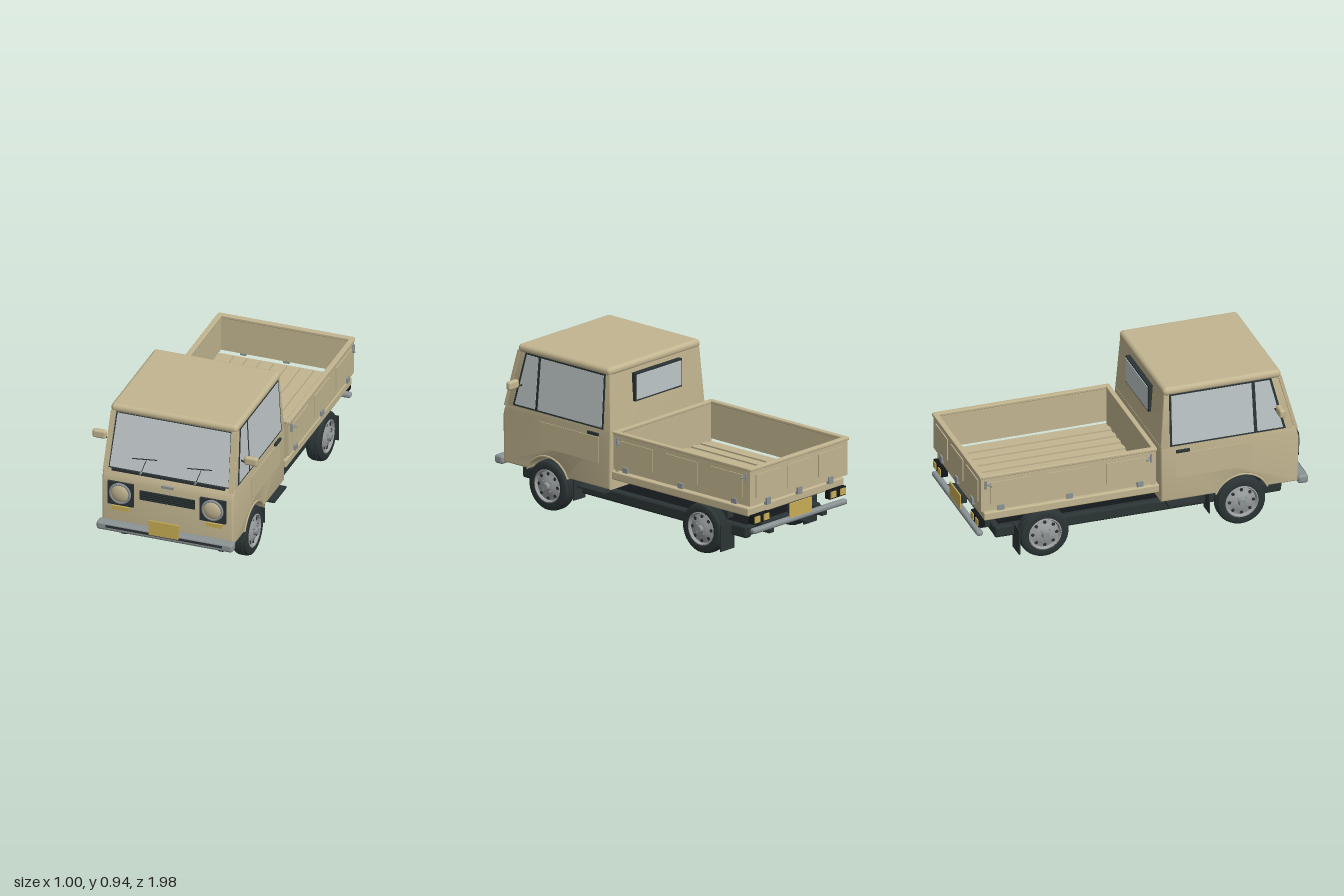
import * as THREE from 'three';
import { toCreasedNormals } from 'three/addons/utils/BufferGeometryUtils.js';
import { RoundedBoxGeometry } from 'three/addons/geometries/RoundedBoxGeometry.js';

const mat = (name, color, side = THREE.FrontSide) => {
  const m = new THREE.MeshStandardMaterial({ color, side });
  m.name = name;
  return m;
};

export function createModel() {
  const paint = mat('beigePaint', 0xc2b590), glass = mat('glass', 0xbfc7c8);
  const dark = mat('darkTrim', 0x2b3435), black = mat('blackUnderside', 0x14181a);
  const metal = mat('greyMetal', 0x8b9395), rimGrey = mat('rimGrey', 0x9c9fa0);
  const yellow = mat('amberYellow', 0xc9ae55);

  const root = new THREE.Group();
  root.name = 'pickupTruck';
  const add = (name, geo, material, parent = root) => {
    const mesh = new THREE.Mesh(geo, material);
    mesh.name = name;
    parent.add(mesh);
    return mesh;
  };
  const group = (name) => {
    const g = new THREE.Group();
    g.name = name;
    root.add(g);
    return g;
  };
  // box given by its limits on each axis, with optional rounding
  const box = (name, m, [x0, x1], [y0, y1], [z0, z1], r = 0, parent = root) => {
    const s = [x1 - x0, y1 - y0, z1 - z0];
    const mesh = add(name, r ? new RoundedBoxGeometry(...s, 3, r) : new THREE.BoxGeometry(...s), m, parent);
    mesh.position.set((x0 + x1) / 2, (y0 + y1) / 2, (z0 + z1) / 2);
    return mesh;
  };
  const mirrorBox = (name, m, [a, b], y, z, r = 0, parent = root) => {
    box(name + 'Left', m, [a, b], y, z, r, parent);
    box(name + 'Right', m, [-b, -a], y, z, r, parent);
  };
  const rod = (name, m, from, to, r, parent = root) => {
    const a = new THREE.Vector3(...from), b = new THREE.Vector3(...to), d = b.clone().sub(a);
    const mesh = add(name, new THREE.CylinderGeometry(r, r, d.length(), 10), m, parent);
    mesh.position.copy(a).lerp(b, 0.5);
    mesh.quaternion.setFromUnitVectors(new THREE.Vector3(0, 1, 0), d.normalize());
    return mesh;
  };
  const shapeOf = (pts) => new THREE.Shape(pts.map(p => new THREE.Vector2(...p)));
  const warp = (geo, rule) => {
    const p = geo.attributes.position, v = new THREE.Vector3();
    for (let i = 0; i < p.count; i++) {
      rule(v.fromBufferAttribute(p, i));
      p.setXYZ(i, v.x, v.y, v.z);
    }
    geo.computeVertexNormals();
    return geo;
  };
  // extrude a (z, y) side outline across x, centred on x = 0
  const across = (shape, width, bevel = 0) => {
    const geo = new THREE.ExtrudeGeometry(shape, {
      depth: width - 2 * bevel, curveSegments: 20, bevelEnabled: bevel > 0,
      bevelSize: bevel, bevelThickness: bevel, bevelOffset: -bevel, bevelSegments: 3 });
    geo.translate(0, 0, bevel - width / 2);
    return geo.rotateY(-Math.PI / 2);
  };
  const halfWidth = (y) => 0.395 - Math.max(0, y - 0.56) * 0.06;
  const screenZ = (y) => 0.905 - (y - 0.57) * 0.27;

  // --- cab ---
  const cab = group('cab');
  const lower = shapeOf([[0.44, 0.225], [0.115, 0.225], [0.11, 0.575], [0.905, 0.575], [0.925, 0.54], [0.935, 0.5], [0.93, 0.22], [0.745, 0.22]]);
  lower.absarc(0.593, 0.155, 0.165, 0.4, Math.PI - 0.4, false);
  add('cabLowerBody', toCreasedNormals(across(lower, 0.79, 0.012), 0.6), paint, cab);
  const upper = shapeOf([[0.11, 0.55], [0.135, 0.91], [screenZ(0.91), 0.91], [screenZ(0.55), 0.55]]);
  add('cabUpperBody', toCreasedNormals(warp(across(upper, 0.79, 0.01), v => { v.x *= halfWidth(v.y) / 0.395; }), 0.6), paint, cab);
  box('roof', paint, [-0.382, 0.382], [0.885, 0.936], [0.13, 0.835], 0.024, cab);

  // side windows, following the slope of the cab sides
  const sidePlate = (name, m, pts, t) => {
    for (const s of [1, -1]) {
      const geo = warp(across(shapeOf(pts), t), v => { v.x += s * (halfWidth(v.y) + t / 2 - 0.001); });
      add(name + (s > 0 ? 'Left' : 'Right'), geo, m, cab);
    }
  };
  sidePlate('windowSeal', dark, [[0.165, 0.572], [0.855, 0.572], [0.775, 0.895], [0.165, 0.895]], 0.004);
  sidePlate('doorGlass', glass, [[0.177, 0.582], [0.665, 0.582], [0.655, 0.885], [0.177, 0.885]], 0.006);
  sidePlate('ventGlass', glass, [[0.685, 0.582], [0.838, 0.582], [0.763, 0.885], [0.675, 0.885]], 0.006);
  sidePlate('doorPanel', paint, [[0.2, 0.37], [0.65, 0.37], [0.65, 0.52], [0.2, 0.52]], 0.005);
  mirrorBox('doorHandle', dark, [0.39, 0.408], [0.529, 0.545], [0.2, 0.28], 0, cab);
  mirrorBox('sideStep', dark, [0.34, 0.42], [0.198, 0.21], [0.15, 0.34], 0, cab);
  for (const s of [1, -1]) { // wheel arch lips
    const lip = add('archLip', new THREE.TorusGeometry(0.167, 0.006, 6, 24, Math.PI - 0.8).rotateZ(0.4).rotateY(-Math.PI / 2), paint, cab);
    lip.position.set(s * 0.394, 0.155, 0.593);
  }

  // windscreen and parts lying on its slope
  const screenPlate = (name, m, pts, t, z = 0) => add(name, warp(
    new THREE.ExtrudeGeometry(shapeOf(pts), { depth: t, bevelEnabled: false }),
    v => { v.z += screenZ(v.y) + z; }), m, cab);
  const trapezoid = (b, t, y0, y1) => [[-b, y0], [b, y0], [t, y1], [-t, y1]];
  screenPlate('windscreenSeal', dark, trapezoid(0.364, 0.348, 0.572, 0.892), 0.004);
  screenPlate('windscreen', glass, trapezoid(0.357, 0.34, 0.58, 0.884), 0.007);
  for (const s of [1, -1]) {
    const pts = [[0.364, 0.555], [0.392, 0.555], [0.377, 0.9], [0.348, 0.9]].map(([x, y]) => [s * x, y]);
    screenPlate('windscreenPillar', paint, pts, 0.02);
  }
  box('cowlStrip', dark, [-0.34, 0.34], [0.562, 0.578], [0.88, 0.922], 0, cab);
  for (const x of [-0.165, 0.165]) {
    const at = (dx, y) => [x + dx, y, screenZ(y) + 0.014];
    rod('wiperArm', dark, at(0, 0.577), at(0.025, 0.655), 0.002, cab);
    rod('wiperBlade', dark, at(-0.06, 0.649), at(0.088, 0.663), 0.003, cab);
    rod('wiperPivot', metal, [x, 0.577, 0.9], [x, 0.577, 0.93], 0.006, cab);
  }

  // rear window
  box('rearWindowSeal', dark, [-0.195, 0.195], [0.705, 0.87], [0.105, 0.14], 0, cab);
  box('rearWindow', glass, [-0.185, 0.185], [0.715, 0.86], [0.101, 0.108], 0, cab);

  // door mirrors
  mirrorBox('doorMirror', paint, [0.415, 0.498], [0.69, 0.742], [0.785, 0.82], 0.014, cab);
  for (const s of [1, -1]) rod('mirrorArm', dark, [s * 0.38, 0.705, 0.79], [s * 0.43, 0.695, 0.8], 0.005, cab);

  // --- front end ---
  const front = group('frontEnd');
  box('grille', black, [-0.165, 0.165], [0.417, 0.475], [0.92, 0.939], 0, front);
  for (let i = 0; i < 5; i++) {
    const y = 0.422 + i * 0.012;
    box('grilleSlat', dark, [-0.165, 0.165], [y, y + 0.006], [0.93, 0.944], 0, front);
  }
  box('frontTrim', metal, [-0.037, 0.037], [0.515, 0.529], [0.92, 0.939], 0, front);
  mirrorBox('headlightBezel', dark, [0.2, 0.355], [0.362, 0.506], [0.91, 0.948], 0, front);
  mirrorBox('indicator', yellow, [0.232, 0.33], [0.325, 0.35], [0.91, 0.94], 0, front);
  for (const x of [-0.278, 0.278]) {
    add('headlightRing', new THREE.TorusGeometry(0.059, 0.008, 8, 20), metal, front).position.set(x, 0.44, 0.952);
    const lens = add('headlightLens', new THREE.SphereGeometry(0.057, 24, 12), paint, front);
    lens.scale.z = 0.38;
    lens.position.set(x, 0.44, 0.947);
  }
  box('frontBumper', metal, [-0.41, 0.41], [0.205, 0.256], [0.925, 0.988], 0.016, front);
  box('bumperStrip', dark, [-0.35, 0.35], [0.229, 0.243], [0.98, 0.991], 0, front);
  box('frontPlate', yellow, [-0.09, 0.09], [0.235, 0.325], [0.987, 0.995], 0, front);

  // --- load bed ---
  const bed = group('loadBed');
  box('bedFrame', paint, [-0.4, 0.4], [0.295, 0.345], [-0.945, 0.1], 0.008, bed);
  for (let i = 0; i < 9; i++) {
    const x = (i - 4) * 0.08;
    box('floorRib', paint, [x - 0.02, x + 0.02], [0.34, 0.354], [-0.92, 0.06], 0, bed);
  }
  mirrorBox('sideBoard', paint, [0.388, 0.406], [0.362, 0.58], [-0.955, 0.078], 0, bed);
  mirrorBox('sideRail', paint, [0.383, 0.414], [0.568, 0.586], [-0.965, 0.082], 0.005, bed);
  box('headBoard', paint, [-0.39, 0.39], [0.345, 0.578], [0.06, 0.078], 0, bed);
  box('headRail', paint, [-0.405, 0.405], [0.568, 0.586], [0.055, 0.084], 0.005, bed);
  box('tailgate', paint, [-0.405, 0.405], [0.362, 0.58], [-0.965, -0.947], 0, bed);
  box('tailgateRail', paint, [-0.41, 0.41], [0.568, 0.586], [-0.975, -0.942], 0.005, bed);
  for (let i = 0; i < 3; i++) {
    const z = -0.79 + i * 0.345, x = (i - 1) * 0.26;
    mirrorBox('sidePanel', paint, [0.404, 0.411], [0.405, 0.54], [z - 0.12, z + 0.12], 0, bed);
    box('tailgatePanel', paint, [x - 0.1, x + 0.1], [0.405, 0.54], [-0.971, -0.96], 0, bed);
    const h = [-0.02, -0.44, -0.85][i];
    mirrorBox('boardHinge', metal, [0.395, 0.418], [0.36, 0.39], [h - 0.018, h + 0.018], 0, bed);
    box('tailgateHinge', metal, [x - 0.018, x + 0.018], [0.345, 0.385], [-0.975, -0.955], 0, bed);
  }
  for (const s of [1, -1]) for (const z of [0.045, -0.94]) {
    rod('cornerLatch', metal, [s * 0.412, 0.505, z], [s * 0.412, 0.555, z], 0.007, bed);
    rod('latchHandle', metal, [s * 0.405, 0.535, z], [s * 0.43, 0.525, z - 0.03 * Math.sign(z)], 0.005, bed);
  }

  // --- tail ---
  const tail = group('tail');
  mirrorBox('tailLightHousing', black, [0.25, 0.385], [0.252, 0.303], [-0.972, -0.935], 0, tail);
  mirrorBox('tailLightOuter', yellow, [0.335, 0.378], [0.259, 0.296], [-0.978, -0.97], 0, tail);
  mirrorBox('tailLightInner', yellow, [0.258, 0.3], [0.259, 0.296], [-0.978, -0.97], 0, tail);
  box('rearPlate', yellow, [-0.09, 0.09], [0.225, 0.31], [-0.982, -0.974], 0, tail);
  box('plateBracket', dark, [-0.06, 0.06], [0.24, 0.3], [-0.975, -0.93], 0, tail);
  box('rearBumper', metal, [-0.39, 0.39], [0.196, 0.228], [-0.985, -0.945], 0.014, tail);
  mirrorBox('bumperBracket', dark, [0.2, 0.24], [0.165, 0.21], [-0.96, -0.84], 0, tail);

  // --- chassis ---
  const chassis = group('chassis');
  box('floorPan', black, [-0.3, 0.3], [0.165, 0.19], [-0.85, 0.86], 0, chassis);
  mirrorBox('chassisRail', dark, [0.265, 0.315], [0.125, 0.196], [-0.85, 0.86], 0.015, chassis);
  for (const z of [0.845, -0.835]) box('crossMember', dark, [-0.3, 0.3], [0.14, 0.196], [z - 0.02, z + 0.02], 0.01, chassis);
  box('engineSump', dark, [-0.1, 0.15], [0.092, 0.17], [0.42, 0.7], 0.015, chassis);
  box('fuelTank', dark, [-0.14, 0.15], [0.095, 0.17], [-0.45, -0.18], 0.015, chassis);
  rod('driveShaft', dark, [0, 0.14, 0.42], [0, 0.14, -0.58], 0.016, chassis);
  rod('silencer', dark, [-0.15, 0.115, -0.05], [-0.15, 0.115, 0.25], 0.026, chassis);
  rod('exhaustPipe', dark, [-0.15, 0.13, -0.9], [-0.15, 0.12, -0.05], 0.011, chassis);
  for (const z of [0.593, -0.58]) {
    rod('axle', dark, [-0.34, 0.148, z], [0.34, 0.148, z], 0.022, chassis);
    mirrorBox('springMount', dark, [0.2, 0.25], [0.12, 0.298], [z - 0.07, z + 0.07], 0, chassis);
  }
  mirrorBox('rearMudFlap', dark, [0.29, 0.4], [0.045, 0.2], [-0.738, -0.73], 0, chassis);
  mirrorBox('frontMudFlap', dark, [0.29, 0.385], [0.1, 0.225], [0.4, 0.408], 0, chassis);

  // --- wheels, built with the axle along y and outside towards +y ---
  const lathe = (pts) => toCreasedNormals(new THREE.LatheGeometry(pts.map(p => new THREE.Vector2(...p)), 40), 0.7);
  const tyreGeo = lathe([[0.08, -0.045], [0.125, -0.046], [0.14, -0.038], [0.146, -0.022], [0.14, -0.018], [0.147, -0.014], [0.147, -0.003],
    [0.141, 0], [0.147, 0.003], [0.147, 0.014], [0.14, 0.018], [0.146, 0.022], [0.14, 0.038], [0.125, 0.046], [0.098, 0.042], [0.09, 0.03]]);
  const rimGeo = lathe([[0, -0.03], [0.092, -0.03], [0.098, 0.044], [0.092, 0.046], [0.084, 0.03], [0.058, 0.036], [0.042, 0.044], [0, 0.044]]);
  for (const s of [1, -1]) for (const z of [0.593, -0.58]) {
    const wheel = group('wheel');
    wheel.position.set(s * 0.354, 0.148, z);
    wheel.rotation.z = -s * Math.PI / 2;
    add('tyre', tyreGeo, dark, wheel);
    add('rim', rimGeo, rimGrey, wheel);
    add('hubCap', new THREE.CylinderGeometry(0.02, 0.026, 0.03, 16), metal, wheel).position.y = 0.05;
    for (let i = 0; i < 8; i++) {
      const a = i * Math.PI / 4;
      add('rimHole', new THREE.CylinderGeometry(0.01, 0.01, 0.006, 12), dark, wheel).position.set(0.071 * Math.cos(a), 0.033, 0.071 * Math.sin(a));
      if (i % 2) add('wheelNut', new THREE.CylinderGeometry(0.005, 0.005, 0.012, 6), metal, wheel).position.set(0.036 * Math.cos(a), 0.048, 0.036 * Math.sin(a));
    }
  }
  return root;
}
